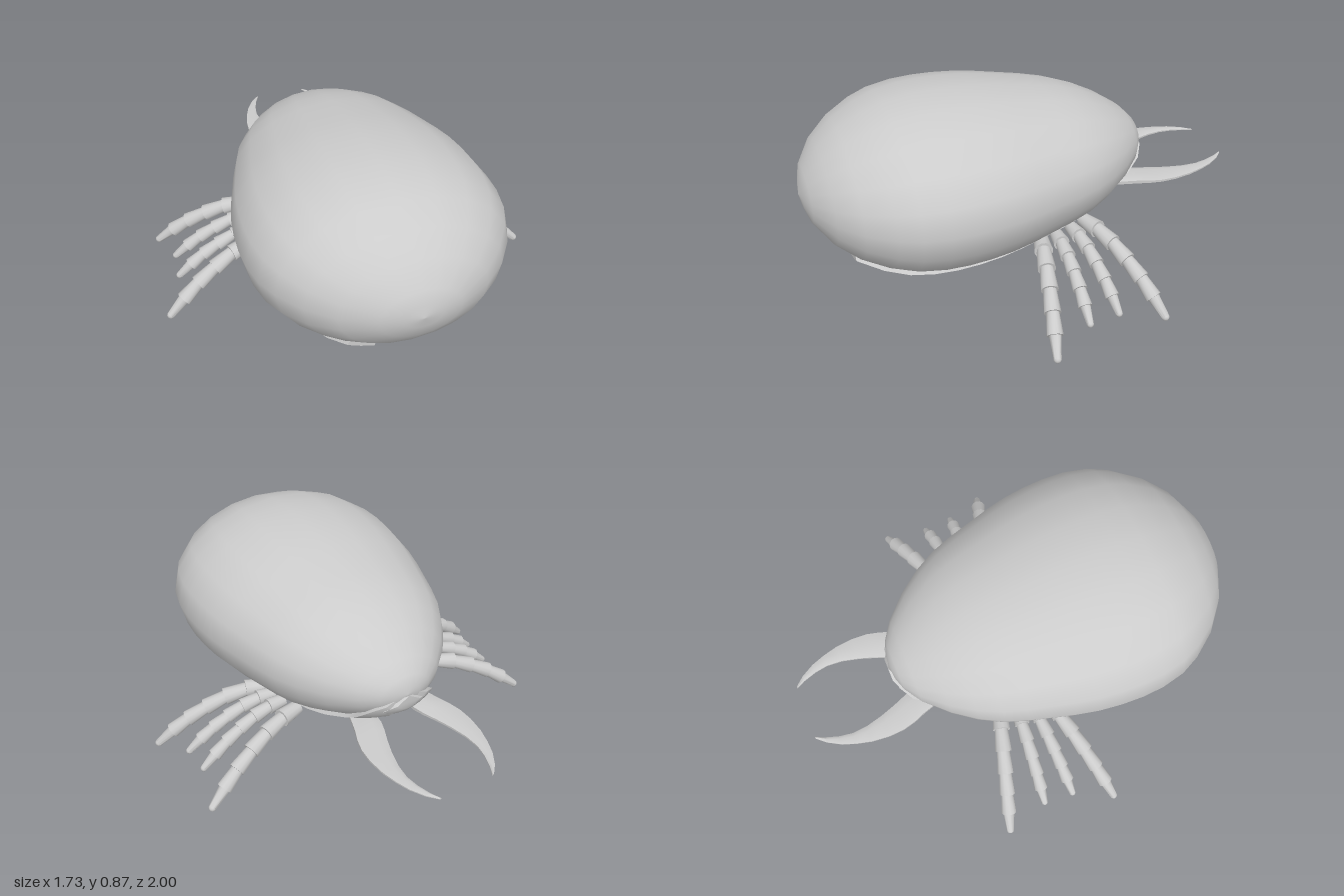
import * as THREE from 'three';
import { toCreasedNormals } from 'three/addons/utils/BufferGeometryUtils.js';

const material = new THREE.MeshStandardMaterial({ color: 0xcccccc });
const CENTRE_Y = 0.503, FLATTEN = 0.667;

// Egg profile: [half width, z], back to front
const PROFILE = [
  [0, -0.578], [0.06, -0.572], [0.12, -0.552], [0.2, -0.5], [0.3, -0.4], [0.375, -0.3], [0.43, -0.2],
  [0.466, -0.1], [0.495, 0], [0.524, 0.1], [0.547, 0.2], [0.56, 0.3], [0.565, 0.4], [0.56, 0.5],
  [0.537, 0.61], [0.495, 0.7], [0.415, 0.81], [0.31, 0.9], [0.17, 0.97], [0.08, 0.99], [0, 1],
];

function radiusAt(z) {
  for (let i = 1; i < PROFILE.length; i++) {
    const [r0, z0] = PROFILE[i - 1], [r1, z1] = PROFILE[i];
    if (z <= z1) return Math.max(0, r0 + (r1 - r0) * (z - z0) / (z1 - z0));
  }
  return 0;
}

function addMesh(parent, geometry, name) {
  const mesh = new THREE.Mesh(geometry, material);
  mesh.name = name;
  parent.add(mesh);
  return mesh;
}

// Closed solid through equal-sized rings, ordered by rising z, counter-clockwise seen from +z
function loft(rings, crease = 0.7) {
  const n = rings[0].length, index = [];
  for (let i = 0; i < rings.length - 1; i++) {
    for (let j = 0; j < n; j++) {
      const a = i * n + j, b = i * n + (j + 1) % n;
      index.push(a, b, b + n, a, b + n, a + n);
    }
  }
  const last = (rings.length - 1) * n;
  for (let j = 1; j < n - 1; j++) {
    index.push(0, j + 1, j, last, last + j, last + j + 1);
  }
  const geometry = new THREE.BufferGeometry();
  geometry.setAttribute('position', new THREE.Float32BufferAttribute(rings.flat(2), 3));
  geometry.setIndex(index);
  return toCreasedNormals(geometry, crease);
}

// Band hugging the belly between two angles; stations are [z, angle0, angle1, thickness]
function bellyBand(stations) {
  const STEPS = 6;
  return loft(stations.map(([z, a0, a1, off]) => {
    const ring = [];
    const point = (a, o) => {
      const r = radiusAt(z);
      ring.push([Math.max(0, r + o) * Math.sin(a), CENTRE_Y - Math.max(0, r * FLATTEN + o) * Math.cos(a), z]);
    };
    for (let i = 0; i <= STEPS; i++) point(a0 + (a1 - a0) * i / STEPS, off);
    for (let i = STEPS; i >= 0; i--) point(a0 + (a1 - a0) * i / STEPS, -0.025);
    return ring;
  }));
}

// Flat curved horn; stations are [z, inner x, outer x, half thickness]
function hornGeometry() {
  const stations = [
    [-1, 0.122, 0.132, 0.004], [-0.96, 0.143, 0.168, 0.007], [-0.9, 0.163, 0.203, 0.009],
    [-0.84, 0.173, 0.225, 0.011], [-0.77, 0.168, 0.243, 0.013], [-0.69, 0.148, 0.251, 0.015],
    [-0.62, 0.124, 0.247, 0.017], [-0.56, 0.1, 0.232, 0.02], [-0.51, 0.085, 0.212, 0.025],
    [-0.44, 0.085, 0.19, 0.025], [-0.36, 0.1, 0.17, 0.02],
  ];
  return loft(stations.map(([z, xi, xo, h]) => {
    const y = 0.335 - 0.02 * (z + 0.44), w = xo - xi;
    return [
      [xi, y + h * 0.3, z], [xi, y - h * 0.3, z], [xi + w * 0.35, y - h, z],
      [xo, y - h * 0.3, z], [xo, y + h * 0.3, z], [xi + w * 0.35, y + h, z],
    ];
  }), 0.9);
}

// Arched leg of overlapping flared segments ending in a blunt claw
function makeLeg(root, tip, scale) {
  const leg = new THREE.Group();
  const drop = [0, 0.03, 0.24, 0.55, 1];
  const curve = new THREE.CatmullRomCurve3(drop.map((d, i) => new THREE.Vector3(
    root[0] + (tip[0] - root[0]) * i / 4,
    root[1] + (tip[1] - root[1]) * d,
    root[2] + (tip[2] - root[2]) * i / 4)));
  const up = new THREE.Vector3(0, 1, 0);
  const stops = [0, 0.17, 0.34, 0.51, 0.68, 0.84, 1];
  for (let i = 0; i < 6; i++) {
    const a = curve.getPointAt(Math.max(0, stops[i] - 0.02)), b = curve.getPointAt(stops[i + 1]);
    const dir = b.clone().sub(a), length = dir.length();
    const claw = i === 5;
    const near = (claw ? 0.027 : 0.031 - i * 0.001) * scale;
    const far = (claw ? 0.017 : 0.041 - i * 0.0015) * scale;
    const geometry = toCreasedNormals(new THREE.CylinderGeometry(far, near, length, 12), 0.8);
    const segment = addMesh(leg, geometry, claw ? 'claw' : 'legSegment');
    segment.position.copy(a).add(b).multiplyScalar(0.5);
    segment.quaternion.setFromUnitVectors(up, dir.normalize());
    if (claw) addMesh(leg, new THREE.SphereGeometry(far, 12, 8), 'clawTip').position.copy(b);
  }
  return leg;
}

export function createModel() {
  const model = new THREE.Group();
  model.name = 'mite';

  // Egg-shaped body
  const body = new THREE.LatheGeometry(PROFILE.map(([r, z]) => new THREE.Vector2(r, z)), 20);
  body.rotateX(Math.PI / 2);
  body.scale(1, FLATTEN, 1);
  addMesh(model, body, 'body').position.y = CENTRE_Y;

  // Saddle under the nose joining the two belly straps
  const saddle = [[-0.585, -1, 1, 0.065], [-0.56, -0.9, 0.9, 0.035], [-0.5, -0.7, 0.7, 0.018],
    [-0.44, -0.5, 0.5, 0.008], [-0.38, -0.4, 0.4, 0]];
  addMesh(model, bellyBand(saddle), 'noseSaddle');

  // Belly strap stations
  const strap = [[-0.57, 0.4, 1.2, 0.04], [-0.53, 0.34, 1.05, 0.03], [-0.47, 0.32, 0.8, 0.025]];
  for (let i = 0; i <= 12; i++) strap.push([-0.4 + i * 0.1025, 0.32, 0.64, 0.02]);

  // Leg roots and tips, [x, y, z], back to front
  const legs = [
    [[0.31, 0.275, -0.18], [0.81, 0.05, -0.338], 1],
    [[0.34, 0.275, -0.105], [0.76, 0.09, -0.143], 0.88],
    [[0.35, 0.265, -0.03], [0.77, 0.085, -0.005], 0.88],
    [[0.35, 0.26, 0.04], [0.85, 0.024, 0.177], 1],
  ];

  for (const [side, sign] of [['left', 1], ['right', -1]]) {
    const half = new THREE.Group();
    half.name = side + 'Side';
    half.scale.x = sign;
    addMesh(half, bellyBand(strap), side + 'BellyStrap');
    addMesh(half, hornGeometry(), side + 'Horn');
    legs.forEach(([root, tip, scale], i) => {
      const leg = makeLeg(root, tip, scale);
      leg.name = side + 'Leg' + (i + 1);
      half.add(leg);
    });
    model.add(half);
  }
  return model;
}
